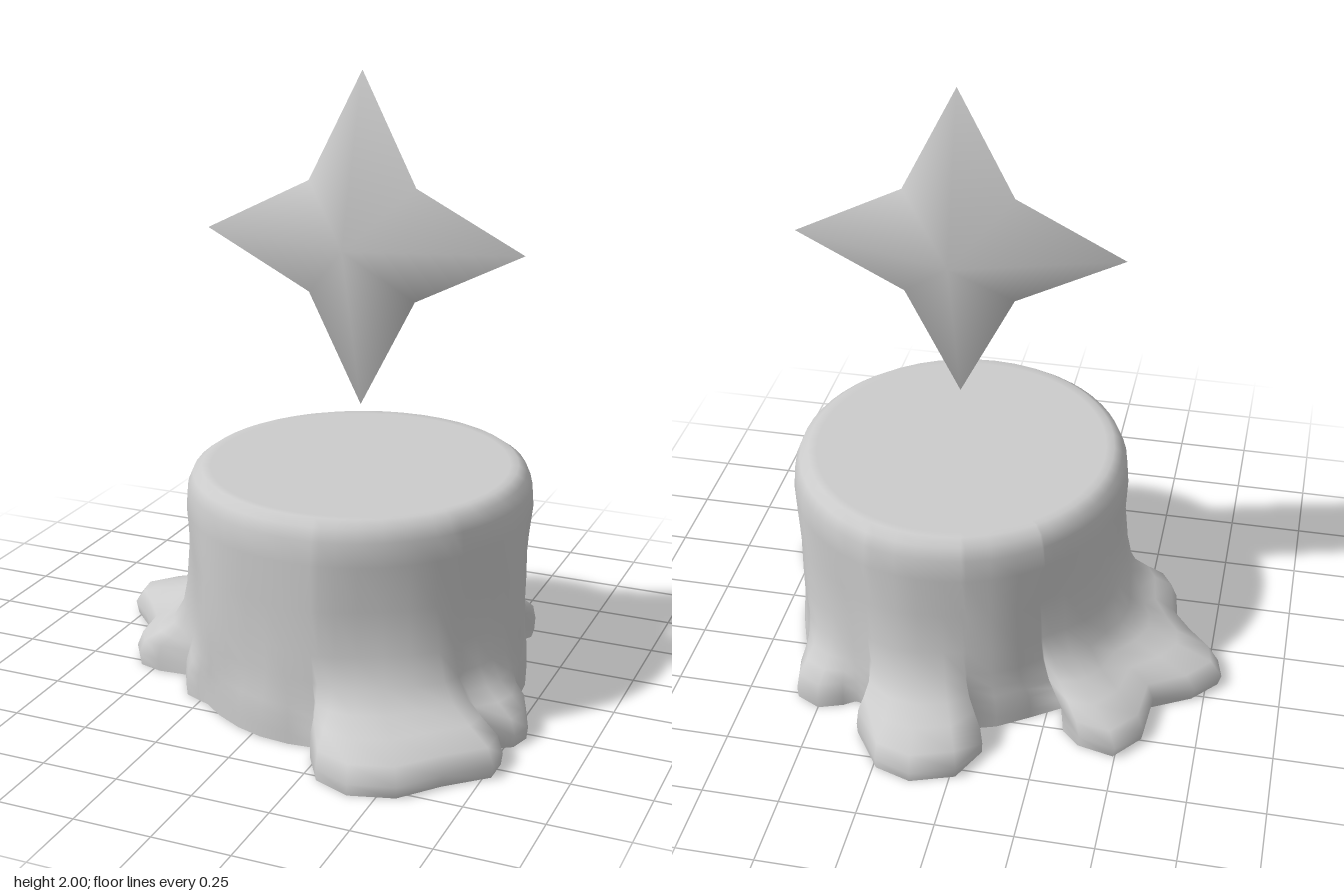
import * as THREE from 'three';

const stone = new THREE.MeshStandardMaterial({ color: 0xcccccc, side: THREE.DoubleSide });
stone.name = 'plain grey';

const CX = 0.13, CZ = 0.015;

// Ground outline of the stump with its roots: x, z pairs, from the +x side round by the front
const footprint = [
  0.69, 0.03, 0.70, 0.10, 0.76, 0.17, 0.80, 0.28, 0.78, 0.35, 0.70, 0.40,          // right front roots
  0.78, 0.47, 0.78, 0.56, 0.66, 0.67, 0.56, 0.79, 0.42, 0.83, 0.30, 0.78, 0.23, 0.66,
  0.235, 0.59, 0.13, 0.60, 0.03, 0.59, -0.06, 0.56, -0.15, 0.51, -0.22, 0.455,     // bare front
  -0.26, 0.44, -0.31, 0.42, -0.35, 0.35, -0.37, 0.29,
  -0.48, 0.30, -0.56, 0.28, -0.60, 0.22, -0.62, 0.08, -0.70, -0.02, -0.78, -0.10,  // forked side root
  -0.80, -0.18, -0.72, -0.27, -0.59, -0.34, -0.58, -0.50, -0.50, -0.60, -0.38, -0.57,
  -0.32, -0.51, -0.295, -0.40, -0.20, -0.465, -0.10, -0.53, -0.01, -0.56,
  -0.08, -0.66, -0.02, -0.79, 0.12, -0.84, 0.24, -0.80, 0.34, -0.65, 0.30, -0.55,  // back root
  0.38, -0.50, 0.42, -0.53, 0.50, -0.56, 0.58, -0.52, 0.59, -0.45, 0.55, -0.38,    // small knob
  0.61, -0.30, 0.65, -0.19, 0.68, -0.08,
];

// Rings from ground to top: height, share of the root outline, trunk scale
const rings = [
  [0, 0.97, 0.98], [0.04, 1, 0.98], [0.09, 0.9, 0.98], [0.125, 0.6, 0.98], [0.16, 0.34, 0.98],
  [0.22, 0.16, 0.98], [0.31, 0.05, 0.985], [0.45, 0, 0.985], [0.6, 0, 1],
  [0.675, 0, 0.99], [0.715, 0, 0.96], [0.735, 0, 0.91], [0.733, 0, 0.86],
];

function meshFrom(positions, index, name) {
  const geometry = new THREE.BufferGeometry();
  geometry.setAttribute('position', new THREE.Float32BufferAttribute(positions, 3));
  geometry.setIndex(index);
  geometry.computeVertexNormals();
  const mesh = new THREE.Mesh(geometry, stone);
  mesh.name = name;
  return mesh;
}

// Trunk lofted from the root outline up to a rounded rim, open underneath
function makeStump() {
  const n = footprint.length / 2;
  const positions = [], index = [];
  for (const [y, rootShare, scale] of rings) {
    for (let i = 0; i < n; i++) {
      const fx = footprint[2 * i], fz = footprint[2 * i + 1];
      let angle = Math.atan2(fz - CZ, fx - CX);
      if (angle < 0) angle += Math.PI * 2;
      angle = (angle + (i / n) * Math.PI * 2) / 2;
      // faint bark folds that fade out at the rim
      const fold = y < 0.6 ? 0.012 * Math.sin(angle * 9 + 1) * Math.sin(y / 0.6 * Math.PI) : 0;
      const bx = CX + Math.cos(angle) * (0.56 * scale + fold);
      const bz = CZ + Math.sin(angle) * (0.585 * scale + fold);
      positions.push(bx + (fx - bx) * rootShare, y, bz + (fz - bz) * rootShare);
    }
  }
  for (let r = 0; r < rings.length - 1; r++) {
    for (let i = 0; i < n; i++) {
      const j = (i + 1) % n;
      const a = r * n + i, b = r * n + j, c = b + n, d = a + n;
      index.push(a, d, c, a, c, b);
    }
  }
  // flat cut top
  const center = positions.length / 3, last = (rings.length - 1) * n;
  positions.push(CX, 0.733, CZ);
  for (let i = 0; i < n; i++) index.push(center, last + (i + 1) % n, last + i);
  return meshFrom(positions, index, 'stump');
}

// One half of the four-pointed star: outline in the middle plane, apex to one side
function makeStarHalf(side, name) {
  const positions = [0, 0, 0.163 * side], index = [];
  for (let i = 0; i < 8; i++) {
    const radius = i % 2 ? 0.18 * Math.SQRT2 : 0.534;
    const angle = i * Math.PI / 4;
    positions.push(Math.cos(angle) * radius, Math.sin(angle) * radius, 0);
    const a = i + 1, b = (i + 1) % 8 + 1;
    index.push(0, side > 0 ? a : b, side > 0 ? b : a);
  }
  return meshFrom(positions, index, name);
}

export function createModel() {
  const model = new THREE.Group();
  model.name = 'starOverStump';
  const star = new THREE.Group();
  star.name = 'floatingStar';
  star.add(makeStarHalf(1, 'starFront'), makeStarHalf(-1, 'starBack'));
  star.position.set(0.134, 1.466, 0.027);
  model.add(makeStump(), star);
  return model;
}
